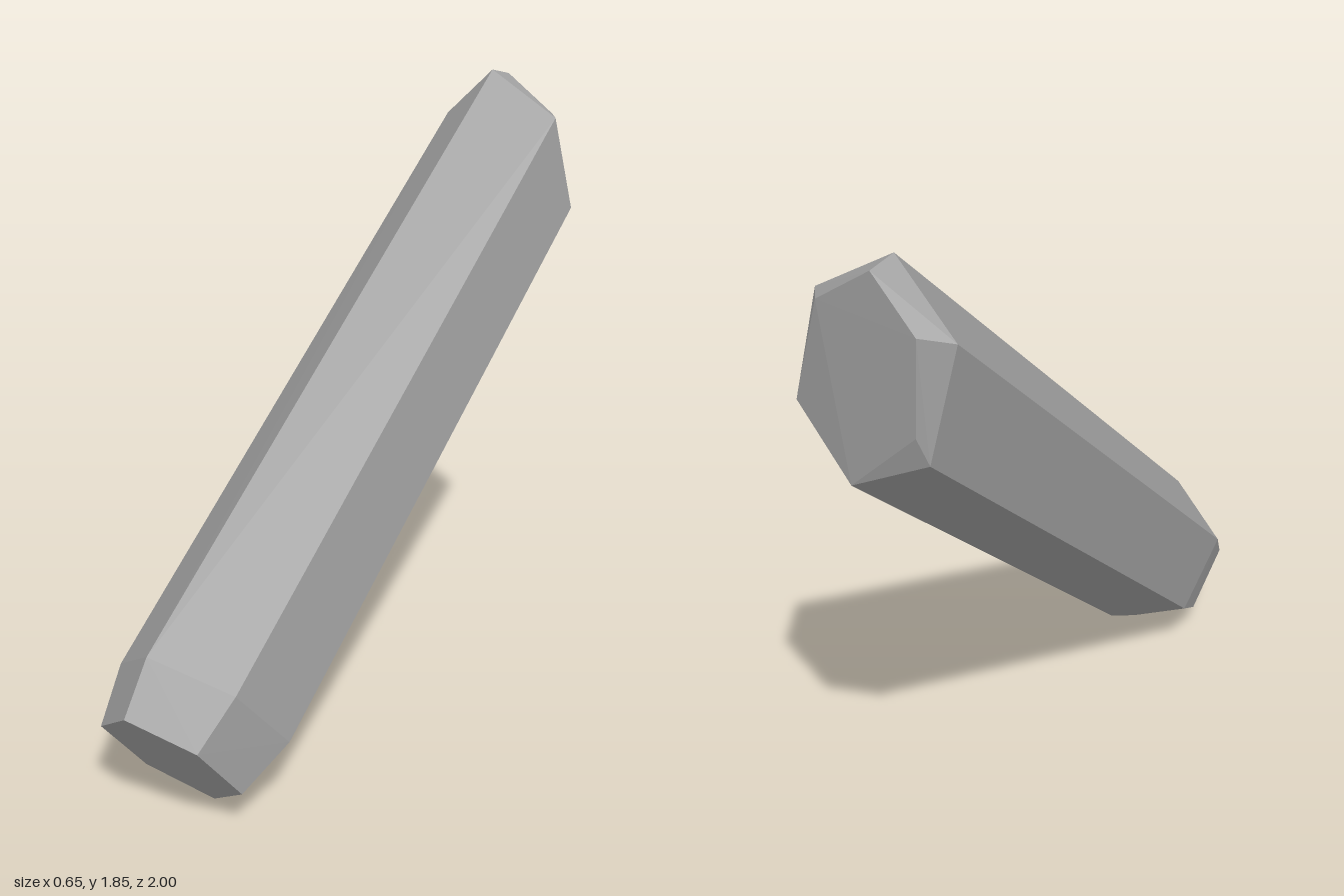
import * as THREE from 'three';
import { ConvexGeometry } from 'three/addons/geometries/ConvexGeometry.js';

export function createModel() {
  const model = new THREE.Group();
  model.name = 'crystalModel';

  const stone = new THREE.MeshStandardMaterial({ color: 0xa0a0a0 });
  stone.name = 'greyStone';

  // six-sided cross-sections along the leaning shaft, each corner as x, y, z
  const footFace = [
    [-0.14, 0.355, 1.0], [0.07, 0.295, 0.97], [0.12, 0.12, 0.84],
    [-0.04, 0.0, 0.74], [-0.25, 0.065, 0.77], [-0.30, 0.24, 0.90],
  ];
  const shaftBottom = [
    [-0.14, 0.49, 0.89], [0.115, 0.42, 0.85], [0.18, 0.22, 0.69],
    [-0.01, 0.08, 0.58], [-0.265, 0.15, 0.61], [-0.33, 0.36, 0.76],
  ];
  const shaftTop = [
    [0.03, 1.845, -0.86], [0.275, 1.715, -0.81], [0.325, 1.425, -0.85],
    [0.135, 1.26, -0.935], [-0.11, 1.38, -0.99], [-0.17, 1.68, -0.95],
  ];
  // bevelled tip, which runs out into the lower corners of the shaft
  const tipFace = [
    [0.05, 1.825, -0.945], [0.23, 1.715, -0.89],
    [-0.08, 1.45, -1.0], [-0.09, 1.70, -1.0],
  ];

  const corners = [footFace, shaftBottom, shaftTop, tipFace]
    .flat()
    .map((p) => new THREE.Vector3(...p));

  const crystal = new THREE.Mesh(new ConvexGeometry(corners), stone);
  crystal.name = 'crystalShaft';
  model.add(crystal);
  return model;
}
